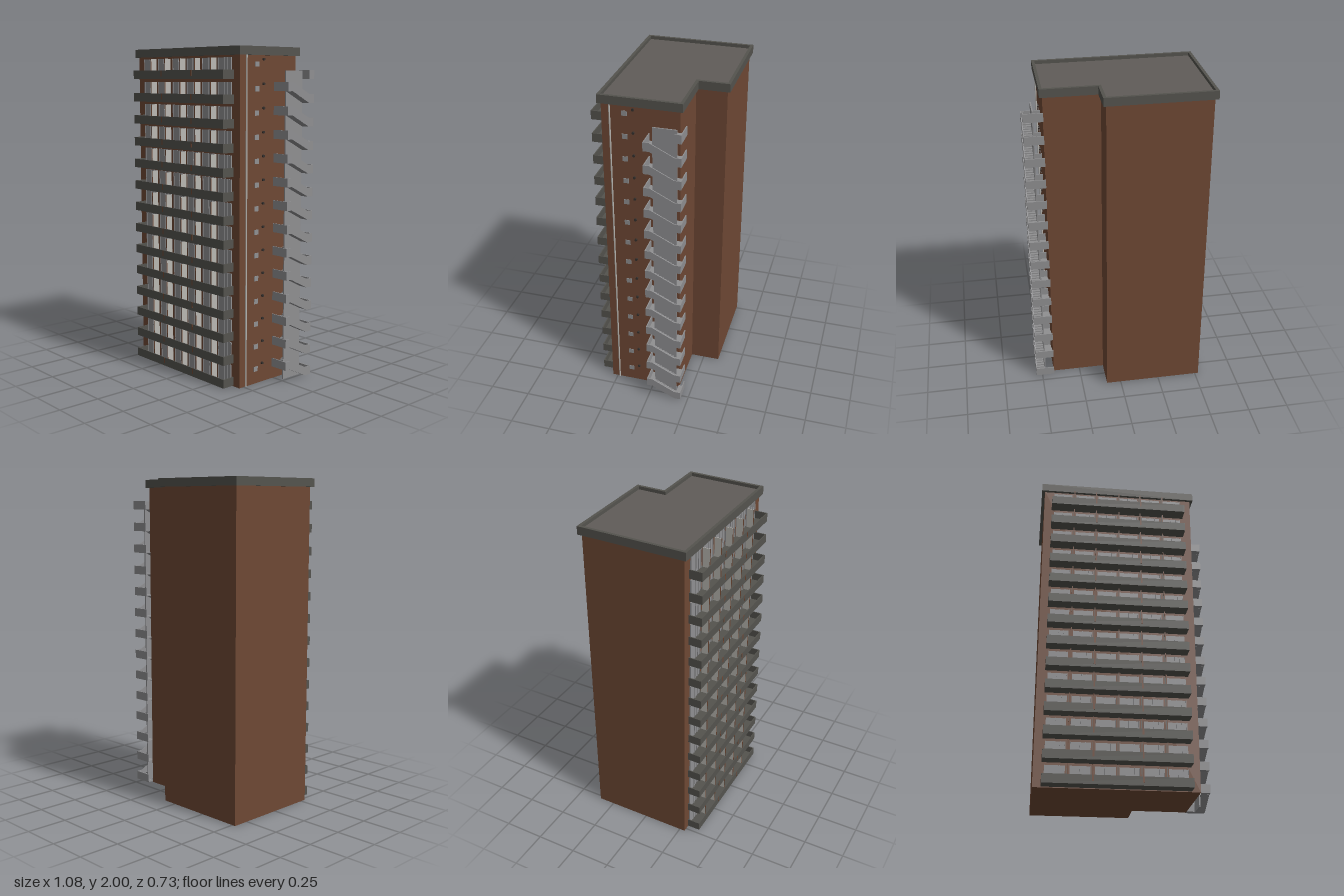
import * as THREE from 'three';

const mat = (name, color, side = THREE.FrontSide) =>
  Object.assign(new THREE.MeshStandardMaterial({ color, side }), { name });

const FLOORS = 14, PITCH = 0.1392;

export function createModel() {
  const brick = mat('brick', 0x6e4834);
  const darkConcrete = mat('dark concrete', 0x54534e);
  const roofFelt = mat('roof felt', 0x605c58);
  const concrete = mat('stair concrete', 0x8f8f91);
  const glass = mat('window grey', 0x909092);
  const pale = mat('pale panel', 0xb9b7b2);
  const dark = mat('vent dark', 0x35302d);

  const model = new THREE.Group();
  model.name = 'apartmentTower';

  const add = (parent, name, geometry, material) => {
    const mesh = new THREE.Mesh(geometry, material);
    mesh.name = name;
    parent.add(mesh);
    return mesh;
  };
  // Box given by its limits on each axis
  const box = (parent, name, material, x0, x1, y0, y1, z0, z1) => {
    const m = add(parent, name, new THREE.BoxGeometry(x1 - x0, y1 - y0, z1 - z0), material);
    m.position.set((x0 + x1) / 2, (y0 + y1) / 2, (z0 + z1) / 2);
    return m;
  };
  // L-shaped floor plan, grown outwards by d
  const plan = (d) => [
    [-0.522 - d, 0.284 + d], [0.422 + d, 0.284 + d], [0.422 + d, -0.168 - d],
    [0.09 + d, -0.168 - d], [0.09 + d, -0.35 - d], [-0.522 - d, -0.35 - d],
  ].map(([x, z]) => new THREE.Vector2(x, -z));
  const slab = (name, material, outer, y, h, hole) => {
    const shape = new THREE.Shape(outer);
    if (hole) shape.holes.push(new THREE.Path(hole));
    const g = new THREE.ExtrudeGeometry(shape, { depth: h, bevelEnabled: false });
    g.rotateX(-Math.PI / 2);
    add(model, name, g, material).position.y = y;
  };
  // Profile in the z-y plane, extruded from x0 to x1
  const sideProfile = (points, x0, x1) => {
    const shape = new THREE.Shape(points.map(([z, y]) => new THREE.Vector2(z, y)));
    const g = new THREE.ExtrudeGeometry(shape, { depth: x1 - x0, bevelEnabled: false });
    g.rotateY(-Math.PI / 2);
    g.translate(x1, 0, 0);
    return g;
  };

  // Brick body and flat roof with raised edge
  slab('brickBody', brick, plan(0), 0, 1.955, null);
  slab('roofParapet', darkConcrete, plan(0.018), 1.95, 0.05, plan(0));
  slab('roofDeck', roofFelt, plan(0), 1.955, 0.025, null);

  // Front balconies, windows and partitions
  const bays = [-0.4025, -0.26, -0.1175, 0.0185, 0.16, 0.2975];
  const partitions = [-0.332, -0.193, -0.048, 0.088, 0.231];
  const balconyFloor = (i) => {
    const g = new THREE.Group();
    g.name = 'balconyFloor';
    g.position.y = i * PITCH;
    box(g, 'balconySlab', darkConcrete, -0.475, 0.371, 0.005, 0.012, 0.284, 0.365);
    box(g, 'balconyFront', darkConcrete, -0.475, 0.371, 0.005, 0.058, 0.359, 0.365);
    for (const x of [-0.475, 0.365])
      box(g, 'balconyEnd', darkConcrete, x, x + 0.006, 0.005, 0.058, 0.284, 0.365);
    for (const x of bays) {
      box(g, 'window', glass, x - 0.058, x + 0.058, 0.012, 0.128, 0.284, 0.288);
      for (const m of [-0.056, -0.002, 0.028, 0.056])
        box(g, 'windowFrame', glass, x + m - 0.002, x + m + 0.002, 0.012, 0.128, 0.287, 0.292);
    }
    partitions.forEach((x, k) => {
      box(g, 'partition', pale, x - 0.002, x + 0.002, 0.012, 0.128, 0.294, 0.336);
      box(g, 'partitionEdge', brick, x - 0.003, x + 0.003, 0.012, 0.128, 0.336, 0.338);
      if (k === 1 || k === 3)
        box(g, 'balconyJoint', brick, x - 0.005, x + 0.005, 0.022, 0.058, 0.364, 0.366);
    });
    model.add(g);
  };

  // Small window and vent on the stair side
  const sideOpenings = (i) => {
    const y = i * PITCH;
    box(model, 'sideWindow', glass, 0.418, 0.425, y + 0.075, y + 0.105, 0.135, 0.167);
    const vent = add(model, 'vent', new THREE.CylinderGeometry(0.008, 0.008, 0.014, 10), dark);
    vent.rotation.z = Math.PI / 2;
    vent.position.set(0.425, y + 0.118, 0.1);
  };

  // Outside stair: two flights per floor around a spine wall
  const X0 = 0.422, XM0 = 0.475, XM1 = 0.483, X1 = 0.538;
  const ZB = -0.205, ZLOW = -0.165, ZHIGH = -0.025, ZF = 0.013;
  const flight = (z0, y0, z1, y1, xa, xb) => {
    const n = 9, pts = [[z0, y0 - 0.008]];
    for (let k = 0; k < n; k++) {
      const z = z0 + (z1 - z0) * k / n;
      pts.push([z, y0 + (y1 - y0) * k / n], [z, y0 + (y1 - y0) * (k + 1) / n]);
    }
    pts.push([z1, y1], [z1, y1 - 0.008]);
    return sideProfile(pts, xa, xb);
  };
  const yF = 0.013, yH = yF + PITCH / 2;
  const outerFlight = flight(ZLOW, yF, ZHIGH, yH, XM1, X1);
  const innerFlight = flight(ZHIGH, yH, ZLOW, yF + PITCH, X0, XM0);
  const outerRail = sideProfile([[ZLOW, 0.005], [ZHIGH, 0.075], [ZHIGH, 0.127], [ZLOW, 0.058]],
    X1 - 0.005, X1 + 0.001);
  const landing = (g, name, y, z0, z1, back) => {
    box(g, name, concrete, X0, X1, y, y + 0.008, z0, z1);
    const z = back ? z0 : z1 - 0.006;
    box(g, name + 'Wall', concrete, X0, X1, y, y + 0.053, z, z + 0.006);
    box(g, name + 'End', concrete, X1 - 0.005, X1 + 0.001, y, y + 0.053, z0, z1);
  };
  const stairFloor = (i) => {
    const g = new THREE.Group();
    g.name = 'stairFloor';
    g.position.y = i * PITCH;
    landing(g, 'floorLanding', 0.005, ZB, ZLOW, true);
    if (i < FLOORS - 1) {
      landing(g, 'halfLanding', 0.075, ZHIGH, ZF, false);
      add(g, 'outerFlight', outerFlight, concrete);
      add(g, 'innerFlight', innerFlight, concrete);
      add(g, 'outerRail', outerRail, concrete);
    }
    model.add(g);
  };
  box(model, 'stairSpine', concrete, XM0, XM1, 0, 1.865, ZLOW, ZHIGH);

  for (let i = 0; i < FLOORS; i++) {
    balconyFloor(i);
    sideOpenings(i);
    stairFloor(i);
  }

  // Drainpipe near the front corner
  const pipe = add(model, 'drainpipe', new THREE.CylinderGeometry(0.005, 0.005, 1.95, 10), pale);
  pipe.position.set(0.426, 0.975, 0.235);

  return model;
}
